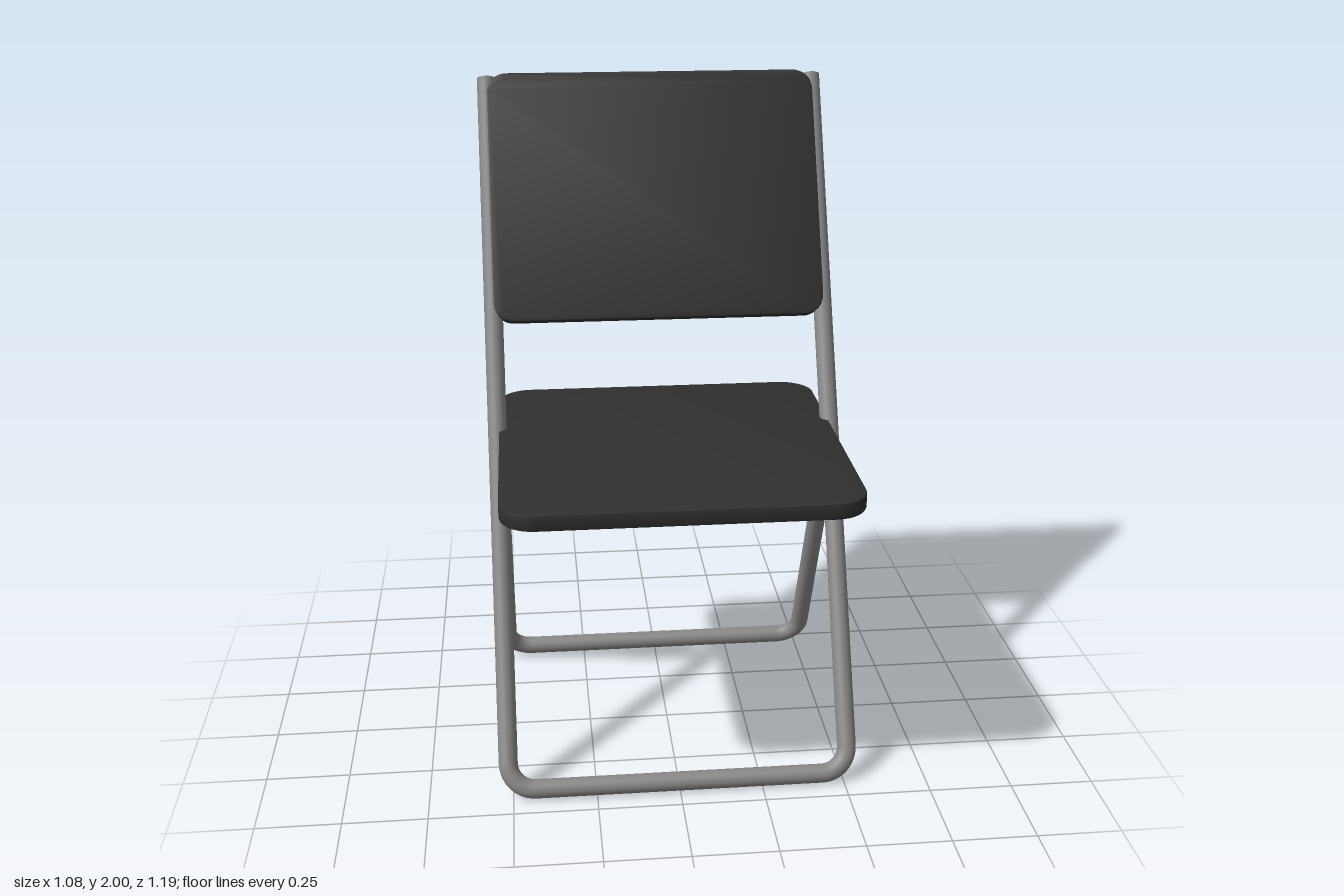
import * as THREE from 'three';
import { toCreasedNormals } from 'three/addons/utils/BufferGeometryUtils.js';

const metal = new THREE.MeshStandardMaterial({ color: 0x888888 });
metal.name = 'grey metal';
const board = new THREE.MeshStandardMaterial({ color: 0x303030 });
board.name = 'dark board';

const R = 0.0285;    // tube radius
const HALF = 0.513;  // half distance between the tube centres
const BEND = 0.08;   // bend radius at the floor corners

function mesh(name, geometry, material) {
  const m = new THREE.Mesh(geometry, material);
  m.name = name;
  return m;
}

// U-shaped tube: two uprights joined by a floor bar, leaning about the bar
function uFrame(name, length, y, z, lean) {
  const g = new THREE.Group();
  g.name = name;
  for (const s of [-1, 1]) {
    const side = s > 0 ? 'left' : 'right';
    const upright = mesh(side + 'Upright', new THREE.CylinderGeometry(R, R, length - BEND, 24), metal);
    upright.position.set(s * HALF, (length + BEND) / 2, 0);
    const bend = mesh(side + 'Bend', new THREE.TorusGeometry(BEND, R, 24, 12, Math.PI / 2), metal);
    bend.position.set(s * (HALF - BEND), BEND, 0);
    bend.rotation.z = s > 0 ? -Math.PI / 2 : Math.PI;
    g.add(upright, bend);
  }
  const bar = mesh('floorBar', new THREE.CylinderGeometry(R, R, 2 * (HALF - BEND), 24), metal);
  bar.rotation.z = Math.PI / 2;
  g.add(bar);
  g.position.set(0, y, z);
  g.rotation.x = lean;
  return g;
}

// Rounded board in the XY plane, centred on its own origin
function panel(name, w, h, t, r) {
  const b = 0.005;
  const x = w / 2 - b, y = h / 2 - b, k = r - b;
  const s = new THREE.Shape();
  s.absarc(x - k, y - k, k, 0, Math.PI / 2);
  s.absarc(k - x, y - k, k, Math.PI / 2, Math.PI);
  s.absarc(k - x, k - y, k, Math.PI, Math.PI * 1.5);
  s.absarc(x - k, k - y, k, Math.PI * 1.5, Math.PI * 2);
  s.closePath();
  const geo = new THREE.ExtrudeGeometry(s, {
    depth: t - 2 * b, bevelEnabled: true, bevelSize: b, bevelThickness: b, bevelSegments: 2, curveSegments: 10,
  });
  geo.translate(0, 0, b - t / 2);
  return mesh(name, toCreasedNormals(geo, 0.5), board);
}

export function createModel() {
  const chair = new THREE.Group();
  chair.name = 'foldingChair';

  // Long frame: front feet up to the backrest
  const lean = -Math.atan(0.5067);
  const frontFrame = uFrame('frontFrame', 2.186, R, 0.42, lean);

  // Backrest set between the uprights, almost flush with their front
  const backrest = panel('backrest', 1.03, 0.784, 0.043, 0.065);
  backrest.position.set(0, 1.802, 0.0075);
  frontFrame.add(backrest);

  // Short rear legs meeting the long frame under the seat
  const rearLegs = uFrame('rearLegs', 1.007, R, -0.46, Math.atan(0.42 / 0.915));

  const seat = panel('seat', 1.015, 1.01, 0.048, 0.1);
  seat.rotation.x = -Math.PI / 2;
  seat.position.set(0, 0.975, 0.09);

  chair.add(frontFrame, rearLegs, seat);
  return chair;
}
